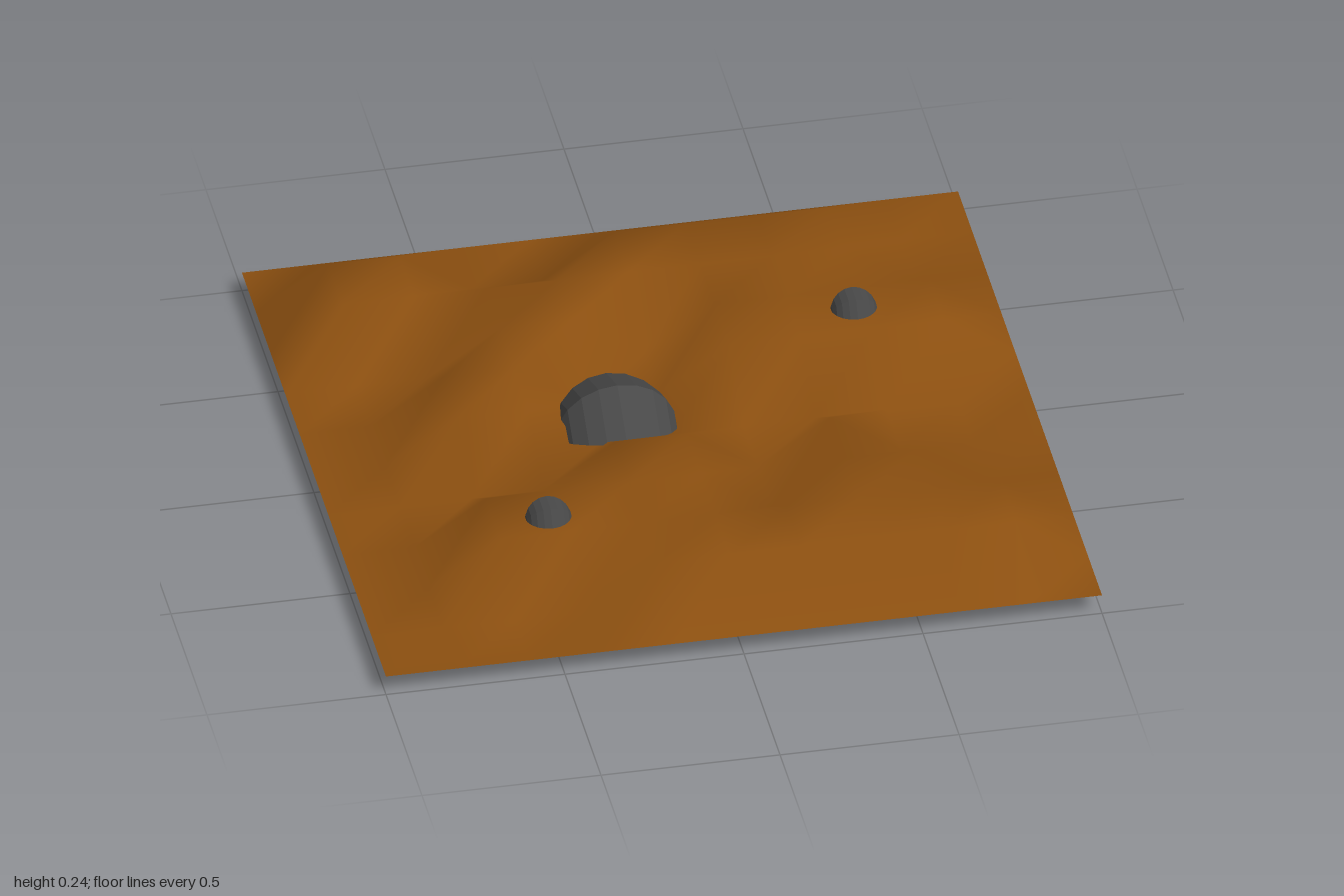
import * as THREE from 'three';
import { mergeGeometries } from 'three/addons/utils/BufferGeometryUtils.js';

const LOW = 0.065, HIGH = 0.2;

// Raised (#) and sunken (.) points inside the rim, rows from back to front
const BUMPS = [
  '##..####.',
  '########.',
  '..##.####',
  '.##..####',
  '.##......',
  '...##.#..',
  '.####.##.',
  '.########',
  '...######',
];

// Half sphere lying on its side: poles along x, three broad facets around, flat base
function createRock(name, radius, material) {
  const dome = new THREE.SphereGeometry(radius, 3, 10, 0, Math.PI);
  dome.rotateX(-Math.PI / 2).rotateY(Math.PI / 2);
  const base = new THREE.CircleGeometry(radius, 20).rotateX(Math.PI / 2);
  const rock = new THREE.Mesh(mergeGeometries([dome, base]), material);
  rock.name = name;
  return rock;
}

export function createModel() {
  const group = new THREE.Group();
  group.name = 'dirtPatch';

  const dirt = new THREE.MeshStandardMaterial({ color: 0x8b4f10, side: THREE.DoubleSide });
  const stone = new THREE.MeshStandardMaterial({ color: 0x484848, flatShading: true });

  // Bumpy ground sheet with a low rim
  const ground = new THREE.PlaneGeometry(2, 2, 10, 10).rotateX(-Math.PI / 2);
  const pos = ground.attributes.position;
  for (let i = 0; i < pos.count; i++) {
    const column = i % 11, row = Math.floor(i / 11);
    const raised = BUMPS[row - 1]?.[column - 1] === '#';
    pos.setY(i, raised ? HIGH : LOW);
  }
  ground.computeVertexNormals();
  const groundMesh = new THREE.Mesh(ground, dirt);
  groundMesh.name = 'ground';
  group.add(groundMesh);

  // Large tilted rock sunk into the hollow
  const largeRock = createRock('largeRock', 0.17, stone);
  largeRock.position.set(-0.15, 0.07, -0.035);
  largeRock.rotation.x = -0.39;
  group.add(largeRock);

  // Two small rocks resting on raised ground
  [[0.57, -0.31], [-0.45, 0.52]].forEach(([x, z], i) => {
    const rock = createRock(`smallRock${i + 1}`, 0.065, stone);
    rock.position.set(x, 0.19, z);
    group.add(rock);
  });

  return group;
}
